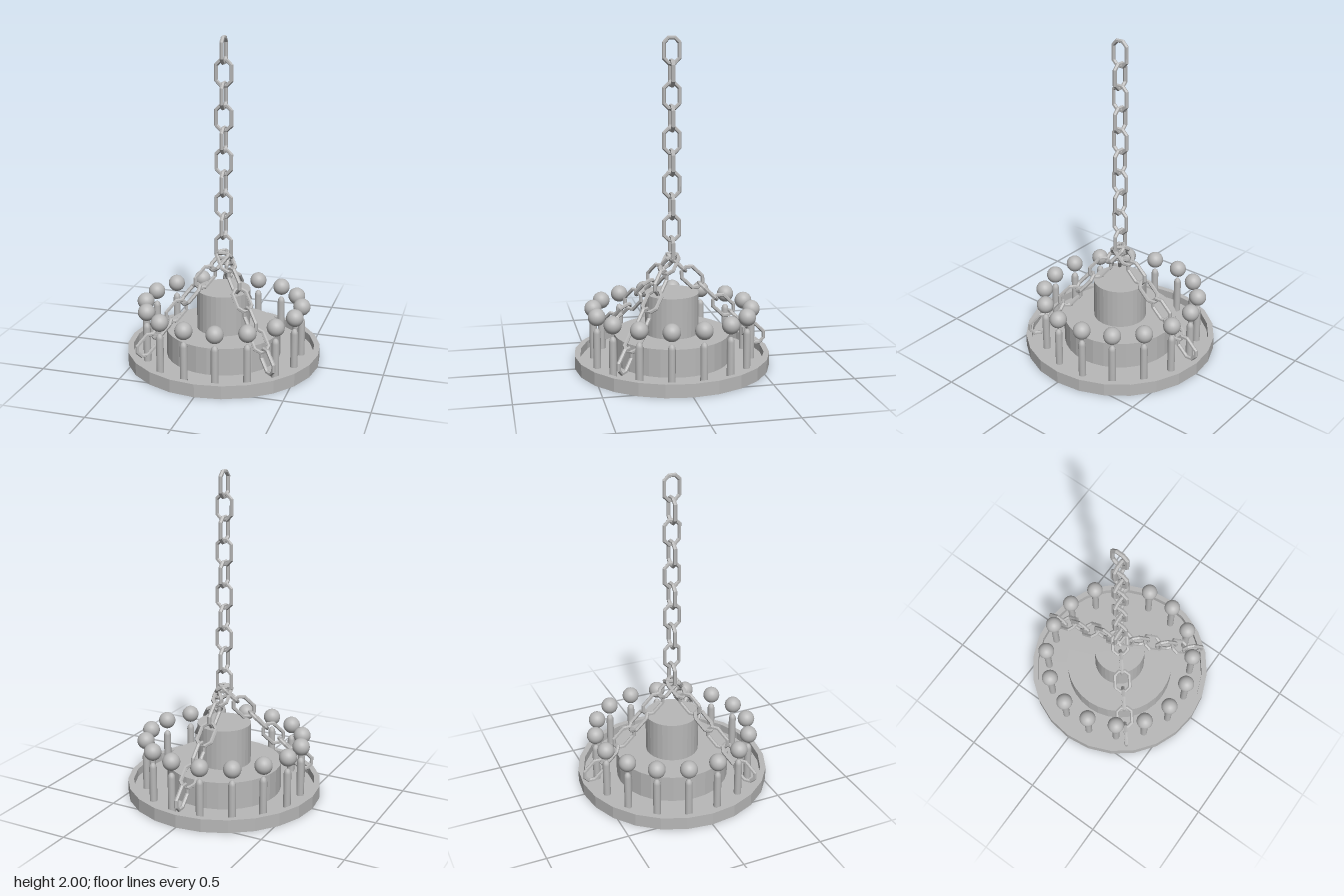
import * as THREE from 'three';

// Faceted normals for the low-poly parts
function faceted(geometry) {
  const g = geometry.index ? geometry.toNonIndexed() : geometry;
  g.computeVertexNormals();
  return g;
}

// Octagonal ring stretched along y into a chain link
function linkGeometry() {
  const g = new THREE.TorusGeometry(0.051, 0.0125, 6, 8);
  g.rotateZ(Math.PI / 8);
  const p = g.attributes.position;
  for (let i = 0; i < p.count; i++) p.setY(i, p.getY(i) + Math.sign(p.getY(i)) * 0.0255);
  return faceted(g);
}

export function createModel() {
  const model = new THREE.Group();
  const iron = new THREE.MeshStandardMaterial({ color: 0xb8b8b8 });
  iron.name = 'grey iron';

  function add(parent, name, geometry, x = 0, y = 0, z = 0) {
    const mesh = new THREE.Mesh(geometry, iron);
    mesh.name = name;
    mesh.position.set(x, y, z);
    parent.add(mesh);
    return mesh;
  }

  // Shallow dish with a raised rim
  const dish = [[0, 0], [0.6, 0], [0.6, 0.08], [0.565, 0.08], [0.565, 0.03], [0, 0.03]];
  add(model, 'dish', faceted(new THREE.LatheGeometry(dish.map(([r, y]) => new THREE.Vector2(r, y)), 24)));

  // Stepped centre
  add(model, 'lowerTier', faceted(new THREE.CylinderGeometry(0.355, 0.355, 0.17, 32)), 0, 0.115, 0);
  add(model, 'centreColumn', faceted(new THREE.CylinderGeometry(0.165, 0.165, 0.25, 32)), 0, 0.325, 0);

  // Ring of candles with a round flame floating over each
  const candles = new THREE.Group();
  candles.name = 'candles';
  model.add(candles);
  const candleProfile = [[0.023, 0.03], [0.023, 0.245], [0.018, 0.263], [0.009, 0.273], [0, 0.275]];
  const candleGeo = new THREE.LatheGeometry(candleProfile.map(([r, y]) => new THREE.Vector2(r, y)), 12);
  const flameGeo = new THREE.SphereGeometry(0.053, 24, 16);
  for (let i = 0; i < 16; i++) {
    const a = THREE.MathUtils.degToRad(11.9 + 22.5 * i);
    const x = -0.003 + 0.485 * Math.cos(a), z = -0.002 + 0.485 * Math.sin(a);
    add(candles, 'candle', candleGeo, x, 0, z);
    add(candles, 'flame', flameGeo, x, 0.345, z);
  }

  // Row of links, each turned a quarter from the one before
  const linkGeo = linkGeometry();
  function chain(name, start, step, across, count) {
    const group = new THREE.Group();
    group.name = name;
    model.add(group);
    const along = step.clone().normalize();
    const other = new THREE.Vector3().crossVectors(along, across);
    for (let i = 0; i < count; i++) {
      const side = i % 2 ? other : across;
      const c = start.clone().addScaledVector(step, i);
      const link = add(group, 'link', linkGeo, c.x, c.y, c.z);
      const normal = new THREE.Vector3().crossVectors(side, along);
      link.quaternion.setFromRotationMatrix(new THREE.Matrix4().makeBasis(side, along, normal));
    }
  }

  // Hanging chain
  chain('hangingChain', new THREE.Vector3(0, 1.911, 0), new THREE.Vector3(0, -0.1325, 0),
    new THREE.Vector3(0, 0, 1), 10);

  // Three sloping chains down to the dish: angle from +x towards +z, then spread per link
  for (const [name, degrees, spread] of [
    ['backChain', -90, 0.099], ['leftChain', 43.5, 0.096], ['rightChain', 139.8, 0.095]]) {
    const a = THREE.MathUtils.degToRad(degrees);
    const out = new THREE.Vector3(Math.cos(a), 0, Math.sin(a));
    const across = new THREE.Vector3(-out.z, 0, out.x);
    const start = out.clone().multiplyScalar(0.028).setY(0.635);
    chain(name, start, out.clone().multiplyScalar(spread).setY(-0.095), across, 6);
  }

  return model;
}
